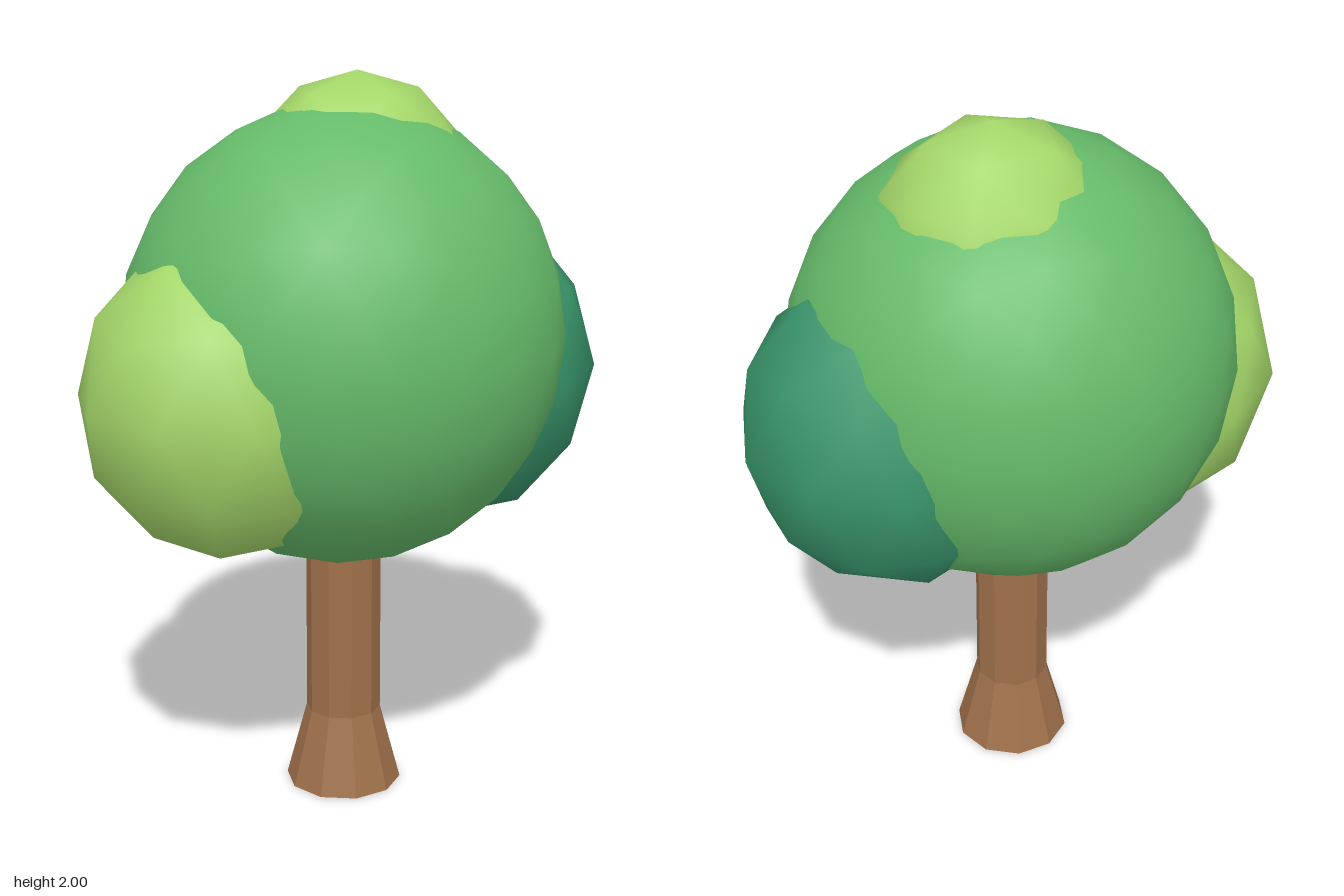
import * as THREE from 'three';

const material = (name, color, flatShading = false) => {
  const m = new THREE.MeshStandardMaterial({ color, flatShading });
  m.name = name;
  return m;
};

// Smooth icosphere standing on one of its corners, stretched to three radii
function foliage(name, mat, detail, position, radii) {
  const geometry = new THREE.IcosahedronGeometry(1, detail);
  geometry.rotateZ(-Math.atan(2 / (1 + Math.sqrt(5))));
  const mesh = new THREE.Mesh(geometry, mat);
  mesh.name = name;
  mesh.position.set(...position);
  mesh.scale.set(...radii);
  return mesh;
}

// Ten-sided trunk section between two heights
function trunkSection(name, mat, rTop, rBottom, y0, y1, open) {
  const geometry = new THREE.CylinderGeometry(rTop, rBottom, y1 - y0, 10, 1, open);
  const mesh = new THREE.Mesh(geometry, mat);
  mesh.name = name;
  mesh.position.y = (y0 + y1) / 2;
  return mesh;
}

export function createModel() {
  const tree = new THREE.Group();
  tree.name = 'tree';

  const bark = material('bark brown', 0xa0714b, true);
  const green = material('leaf green', 0x66bb6a);
  const lime = material('light leaf green', 0xa5d86a);
  const dark = material('dark leaf green', 0x38946a);

  // Trunk with a flared foot
  tree.add(
    trunkSection('trunkFoot', bark, 0.104, 0.162, 0, 0.22, false),
    trunkSection('trunk', bark, 0.104, 0.104, 0.22, 0.78, true),
  );

  // Crown: one large ball with three smaller ones pushed into it
  tree.add(
    foliage('mainCrown', green, 3, [0, 1.305, 0], [0.6, 0.625, 0.555]),
    foliage('rightCrown', lime, 1, [-0.33, 1.18, 0.11], [0.405, 0.44, 0.39]),
    foliage('leftCrown', dark, 1, [0.33, 1.18, -0.115], [0.405, 0.45, 0.39]),
    foliage('topCrown', lime, 1, [0.05, 1.67, -0.055], [0.32, 0.33, 0.295]),
  );

  return tree;
}
